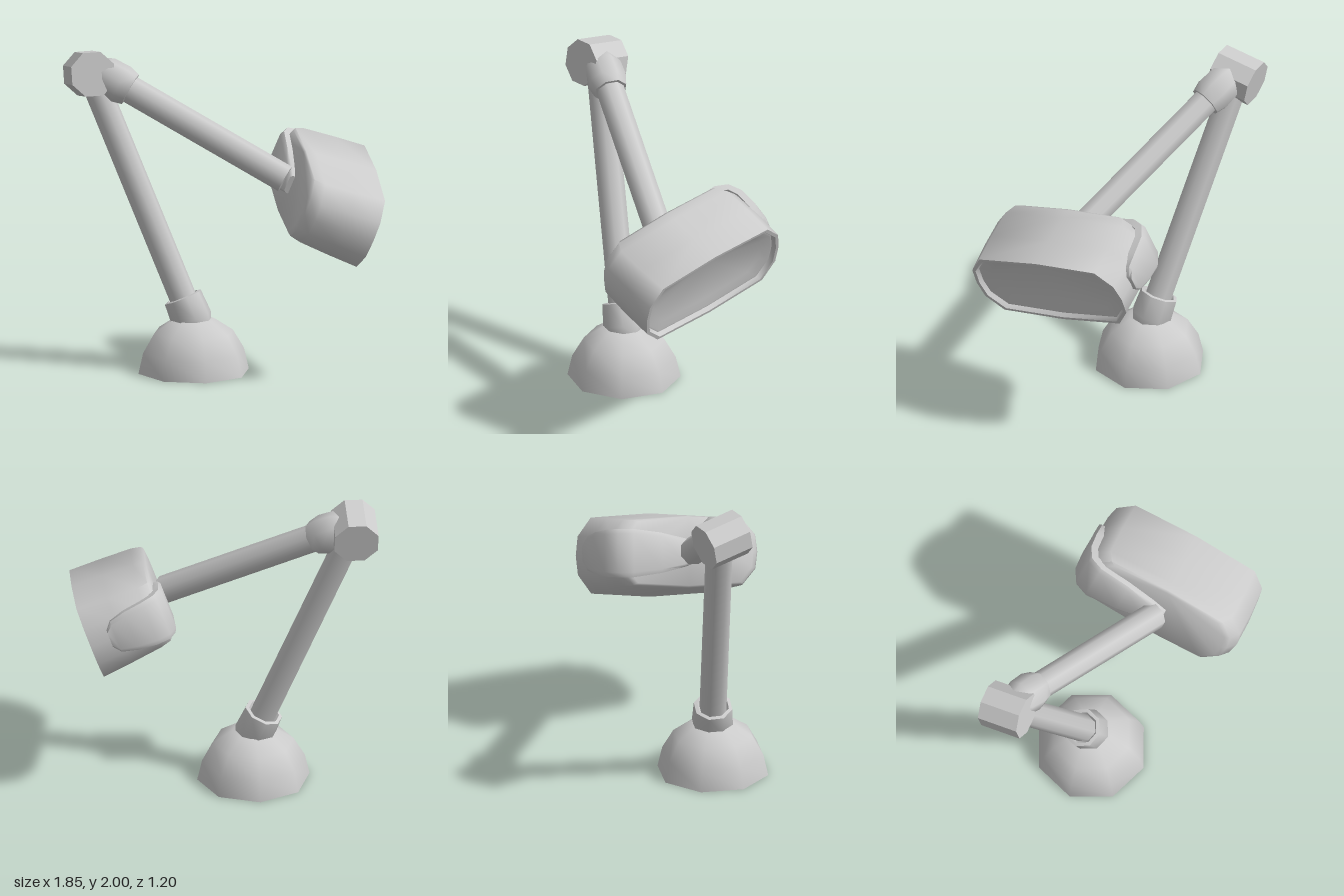
import * as THREE from 'three';
import { toCreasedNormals } from 'three/addons/utils/BufferGeometryUtils.js';

const V = (x, y, z) => new THREE.Vector3(x, y, z);
const grey = new THREE.MeshStandardMaterial({ color: 0xcccccc });
const greyDouble = new THREE.MeshStandardMaterial({ color: 0xcccccc, side: THREE.DoubleSide });

// Skin equal-length rings of [x, y, z] points and close both ends
function loft(rings, crease) {
  const n = rings[0].length, last = (rings.length - 1) * n;
  const index = [];
  for (let i = 0; i < rings.length - 1; i++) {
    for (let j = 0; j < n; j++) {
      const a = i * n + j, b = i * n + (j + 1) % n;
      index.push(a, b, b + n, a, b + n, a + n);
    }
  }
  for (let j = 1; j < n - 1; j++) {
    index.push(0, j + 1, j, last, last + j, last + j + 1);
  }
  const g = new THREE.BufferGeometry();
  g.setAttribute('position', new THREE.Float32BufferAttribute(rings.flat(2), 3));
  g.setIndex(index);
  return toCreasedNormals(g, crease);
}

export function createModel() {
  const model = new THREE.Group();
  model.name = 'deskLamp';

  const add = (name, geometry, parent = model, material = grey) => {
    const mesh = new THREE.Mesh(geometry, material);
    mesh.name = name;
    parent.add(mesh);
    return mesh;
  };
  // Stand a y-axis part at p, pointing along dir
  const aim = (mesh, p, dir) => {
    mesh.position.copy(p);
    mesh.quaternion.setFromUnitVectors(V(0, 1, 0), dir.clone().normalize());
    return mesh;
  };
  const rod = (name, p, q, r) => {
    const d = q.clone().sub(p);
    aim(add(name, new THREE.CylinderGeometry(r, r, d.length(), 8)), p.clone().add(q).multiplyScalar(0.5), d);
  };
  const lathe = (name, profile) => add(name, toCreasedNormals(
    new THREE.LatheGeometry(profile.map(([r, y]) => new THREE.Vector2(r, y)), 8), 0.95), model, greyDouble);

  // Hollow eight-sided dome base
  lathe('base', [[0.35, 0], [0.32, 0.13], [0.25, 0.25], [0.13, 0.33], [0, 0.34]]).position.set(-0.2, 0, -0.13);

  // Lower arm and its socket
  const foot = V(-0.21, 0.33, -0.14), elbow = V(-0.77, 1.83, -0.45);
  const lowerDir = elbow.clone().sub(foot);
  rod('lowerArm', foot, elbow, 0.085);
  aim(lathe('lowerSocket', [[0.11, -0.06], [0.13, 0], [0.122, 0.145], [0.1, 0.15], [0.083, 0.12]]), foot, lowerDir);

  // Octagonal elbow joint, flat side up
  const joint = add('elbowJoint', toCreasedNormals(
    new THREE.CylinderGeometry(0.146, 0.146, 0.265, 8).rotateY(Math.PI / 8), 0.3));
  aim(joint, V(-0.79, 1.845, -0.445), V(-0.03, 0.19, 0.98));

  // Upper arm and its rounded socket
  const start = V(-0.712, 1.85, -0.415), wrist = V(0.335, 1.235, 0.07);
  rod('upperArm', start, wrist, 0.087);
  aim(lathe('upperSocket', [[0, -0.07], [0.085, -0.05], [0.118, 0.02], [0.124, 0.13], [0.105, 0.2], [0.085, 0.2]]),
    start, wrist.clone().sub(start));

  // Lamp head frame: x = across, y = lengthwise, z = out of the opening
  const head = new THREE.Group();
  head.name = 'head';
  const normal = V(0.94, -0.345, 0).normalize();
  const across = V(0.345, 0.94, 0).normalize().applyAxisAngle(normal, 0.21);
  const along = normal.clone().cross(across);
  head.quaternion.setFromRotationMatrix(new THREE.Matrix4().makeBasis(across, along, normal));
  head.position.set(0.815, 1.035, 0.06);
  model.add(head);

  // Shade: rounded outline swept from the back to the rim, then into the shallow recess
  const quarter = [[0.258, 0], [0.235, 0.42], [0.12, 0.515]];
  const outline = [
    ...quarter, [0, 0.53],
    ...quarter.slice().reverse().map(([x, y]) => [-x, y]),
    ...quarter.slice(1).map(([x, y]) => [-x, -y]), [0, -0.53],
    ...quarter.slice(1).reverse().map(([x, y]) => [x, -y]),
  ];
  const stations = [ // depth, width scale, length scale
    [-0.48, 0.81, 0.87], [-0.465, 0.855, 0.93], [-0.4, 0.875, 1.015], [-0.2, 0.94, 1.02], [0, 1, 1],
    [0, 0.93, 0.96], [-0.03, 0.9, 0.94], [-0.03, 0.86, 0.92], [-0.05, 0.66, 0.8],
  ];
  add('shade', loft(stations.map(([z, sx, sy]) => outline.map(([x, y]) => [x * sx - z * 0.04, y * sy, z])), 1.0), head);

  // Bracket: plate along the back that wraps round one end of the shade
  const path = [ // y, z, half width, direction of the outer face
    [0.05, -0.48, 0.06, 0], [-0.05, -0.49, 0.09, 0], [-0.22, -0.5, 0.125, 0], [-0.42, -0.5, 0.15, 0.2],
    [-0.495, -0.465, 0.15, 0.75], [-0.53, -0.39, 0.145, 1.3], [-0.535, -0.27, 0.13, 1.5],
    [-0.53, -0.17, 0.105, 1.57], [-0.53, -0.13, 0.055, 1.57],
  ];
  const rings = path.map(([y, z, h, a]) => [[-1, -1], [0.5, -1], [1, -0.8], [1, 0.8], [0.5, 1], [-1, 1]]
    .map(([m, s]) => [0.015 + s * h, y - m * 0.03 * Math.sin(a), z - m * 0.03 * Math.cos(a)]));
  add('bracket', loft(rings, 0.9), head);

  return model;
}
